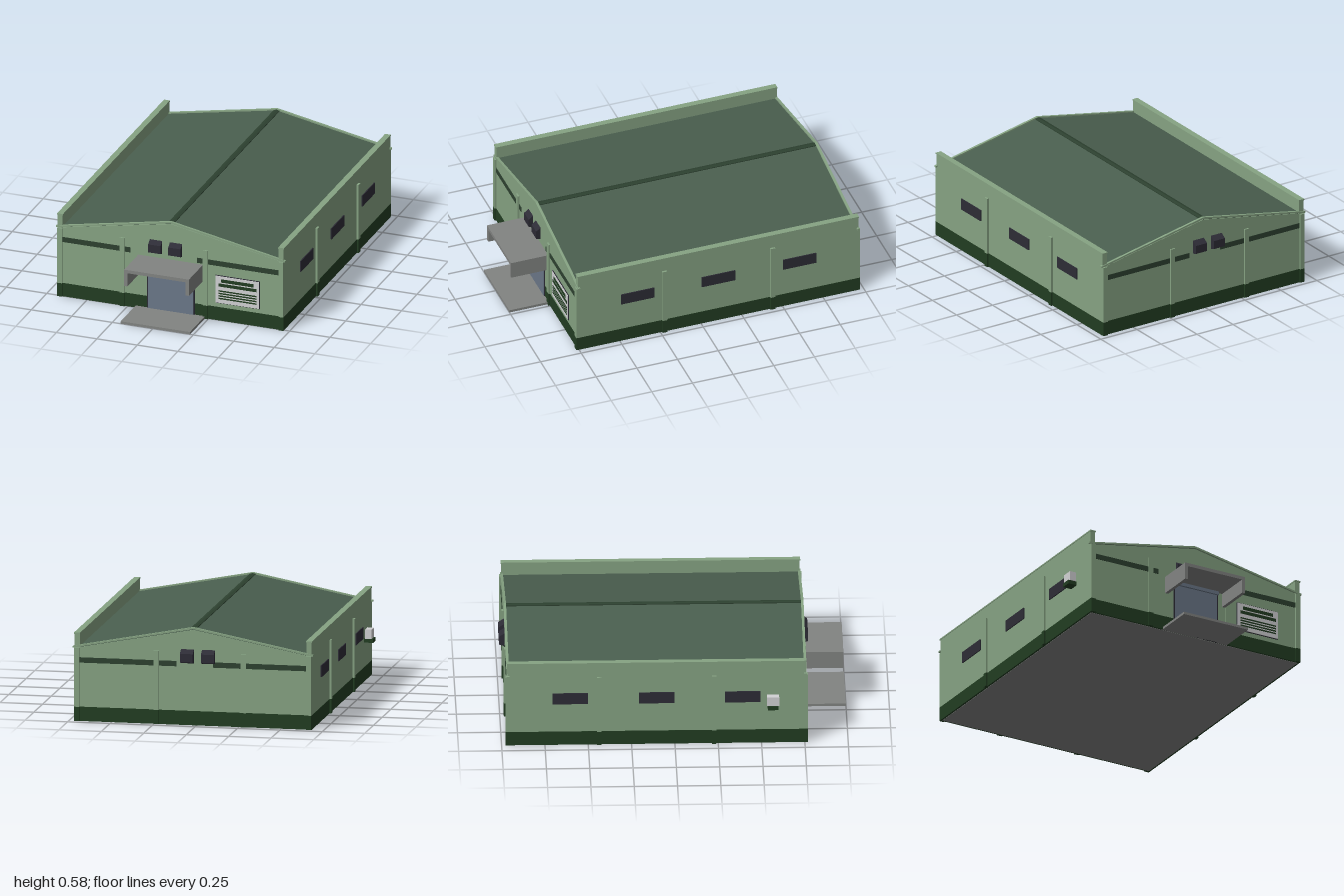
import * as THREE from 'three';

const colours = {
  wallGreen: 0x86a383, baseGreen: 0x223d22, roofGreen: 0x4a5f4f, stripeGreen: 0x2d4130,
  concrete: 0x828482, darkGlass: 0x2d2c36, doorBlue: 0x6b7889, panelWhite: 0xd2d2d4,
};

export function createModel() {
  const model = new THREE.Group();
  model.name = 'warehouse';
  const mat = {};
  for (const [name, color] of Object.entries(colours)) {
    mat[name] = new THREE.MeshStandardMaterial({ color });
    mat[name].name = name;
  }

  const add = (name, geometry, material) => {
    const mesh = new THREE.Mesh(geometry, mat[material]);
    mesh.name = name;
    model.add(mesh);
    return mesh;
  };
  // Box given by its limits on each axis
  const box = (name, material, x0, x1, y0, y1, z0, z1) =>
    add(name, new THREE.BoxGeometry(x1 - x0, y1 - y0, z1 - z0)
      .translate((x0 + x1) / 2, (y0 + y1) / 2, (z0 + z1) / 2), material);
  // Outline in x and y, extruded from z0 to z1
  const prism = (name, material, points, z0, z1) => {
    const shape = new THREE.Shape(points.map(([x, y]) => new THREE.Vector2(x, y)));
    return add(name, new THREE.ExtrudeGeometry(shape, { depth: z1 - z0, bevelEnabled: false })
      .translate(0, 0, z0), material);
  };

  const cx = 0.018, half = 0.698, front = 0.757, back = -0.967, baseTop = 0.086;
  const left = cx + half, right = cx - half;

  // Floor, painted base and gabled body
  box('floor', 'concrete', right + 0.01, left - 0.01, 0, 0.01, back + 0.01, front - 0.01);
  box('baseBand', 'baseGreen', right - 0.001, left + 0.001, 0.002, baseTop, back - 0.001, front + 0.001);
  prism('walls', 'wallGreen',
    [[right, baseTop], [left, baseTop], [left, 0.43], [cx, 0.562], [right, 0.43]], back, front);

  // Roof slopes, ridge cap, gable trim and side parapets
  for (const s of [-1, 1]) {
    const e = cx + s * (half - 0.02);
    prism('roofSlope', 'roofGreen', [[cx, 0.556], [e, 0.428], [e, 0.44], [cx, 0.569]], back + 0.005, front - 0.005);
    const outer = cx + s * half, inner = cx + s * 0.667;
    box('parapet', 'wallGreen', Math.min(outer, inner), Math.max(outer, inner), 0.42, 0.513, back, front);
    const mid = (outer + inner) / 2;
    box('parapetCap', 'wallGreen', mid - 0.018, mid + 0.018, 0.513, 0.521, back - 0.003, front + 0.003);
  }
  prism('ridgeCap', 'stripeGreen',
    [[cx - 0.017, 0.56], [cx + 0.017, 0.56], [cx + 0.017, 0.57], [cx, 0.574], [cx - 0.017, 0.57]],
    back + 0.008, front - 0.008);
  const trim = [[cx - 0.708, 0.432], [cx, 0.567], [cx + 0.708, 0.432],
    [cx + 0.708, 0.442], [cx, 0.578], [cx - 0.708, 0.442]];
  prism('frontGableTrim', 'wallGreen', trim, front - 0.011, front + 0.004);
  prism('backGableTrim', 'wallGreen', trim, back - 0.004, back + 0.011);

  // Pilasters with painted feet
  const pilaster = (x0, x1, z0, z1) => {
    box('pilasterFoot', 'baseGreen', x0, x1, 0.002, baseTop, z0, z1);
    box('pilaster', 'wallGreen', x0, x1, baseTop, 0.432, z0, z1);
  };
  for (const x of [cx - 0.683, -0.28, 0.234, cx + 0.683]) {
    pilaster(x - 0.015, x + 0.015, front - 0.01, front + 0.01);
    pilaster(x - 0.015, x + 0.015, back - 0.01, back + 0.01);
  }
  for (const z of [0.227, -0.437]) {
    pilaster(left - 0.01, left + 0.012, z - 0.014, z + 0.014);
    pilaster(right - 0.012, right + 0.01, z - 0.014, z + 0.014);
  }

  // Side windows
  for (const z of [0.392, -0.105, -0.604]) {
    box('leftWindow', 'darkGlass', left - 0.002, left + 0.006, 0.262, 0.33, z - 0.102, z + 0.102);
    box('rightWindow', 'darkGlass', right - 0.006, right + 0.002, 0.262, 0.33, z - 0.102, z + 0.102);
  }

  // Painted stripes on both gable ends
  for (const [x0, x1] of [[-0.65, -0.23], [0.182, 0.685]])
    box('frontStripe', 'stripeGreen', x0, x1, 0.345, 0.376, front - 0.002, front + 0.003);
  for (const [x0, x1] of [[-0.65, -0.1], [0.115, 0.685]])
    box('backStripe', 'stripeGreen', x0, x1, 0.345, 0.376, back - 0.003, back + 0.002);

  // Wedge-shaped vents, a pair on each gable end
  const vent = (x, z, dir, depth) => {
    const profile = [[0, 0.365], [depth, 0.375], [depth, 0.425], [0, 0.447]];
    const shape = new THREE.Shape(profile.map(([d, y]) => new THREE.Vector2(d, y)));
    const geometry = new THREE.ExtrudeGeometry(shape, { depth: 0.076, bevelEnabled: false })
      .translate(0, 0, -0.038).rotateY(-dir * Math.PI / 2);
    add('vent', geometry, 'darkGlass').position.set(x, 0, z);
  };
  for (const x of [-0.073, 0.051]) {
    vent(x, front, 1, 0.027);
    vent(x, back, -1, 0.033);
  }

  // Door with frame and roller housing
  box('doorFrame', 'darkGlass', -0.127, 0.167, 0, 0.302, front - 0.005, front + 0.005);
  box('door', 'doorBlue', -0.12, 0.16, 0.01, 0.298, front, front + 0.008);
  box('rollerHousing', 'doorBlue', -0.13, 0.167, 0.298, 0.319, front, front + 0.02);

  // Canopy with side panels, and the entrance slab
  box('canopyRoof', 'concrete', -0.182, 0.218, 0.318, 0.338, front - 0.005, 0.986);
  for (const x of [-0.182, 0.198])
    box('canopySide', 'concrete', x, x + 0.02, 0.235, 0.318, front - 0.005, 0.986);
  box('entranceSlab', 'concrete', -0.198, 0.23, 0, 0.015, front - 0.005, 1);

  // Notice board with plain bars
  box('boardEdge', 'darkGlass', 0.295, 0.568, 0.113, 0.287, front, front + 0.005);
  box('board', 'panelWhite', 0.298, 0.565, 0.116, 0.284, front, front + 0.008);
  const bars = [[0.331, 0.531, 0.247, 0.267], [0.316, 0.551, 0.22, 0.239]];
  for (let i = 0; i < 4; i++) bars.push([0.316, 0.551, 0.188 - i * 0.0157, 0.196 - i * 0.0157]);
  for (const [x0, x1, y0, y1] of bars)
    box('boardBar', 'baseGreen', x0, x1, y0, y1, front + 0.004, front + 0.01);

  // Cooling unit on a bracket at the right wall
  box('coolingUnit', 'panelWhite', -0.727, -0.688, 0.255, 0.31, 0.531, 0.601);
  box('unitBracket', 'baseGreen', -0.735, right, 0.232, 0.255, 0.535, 0.597);

  return model;
}
